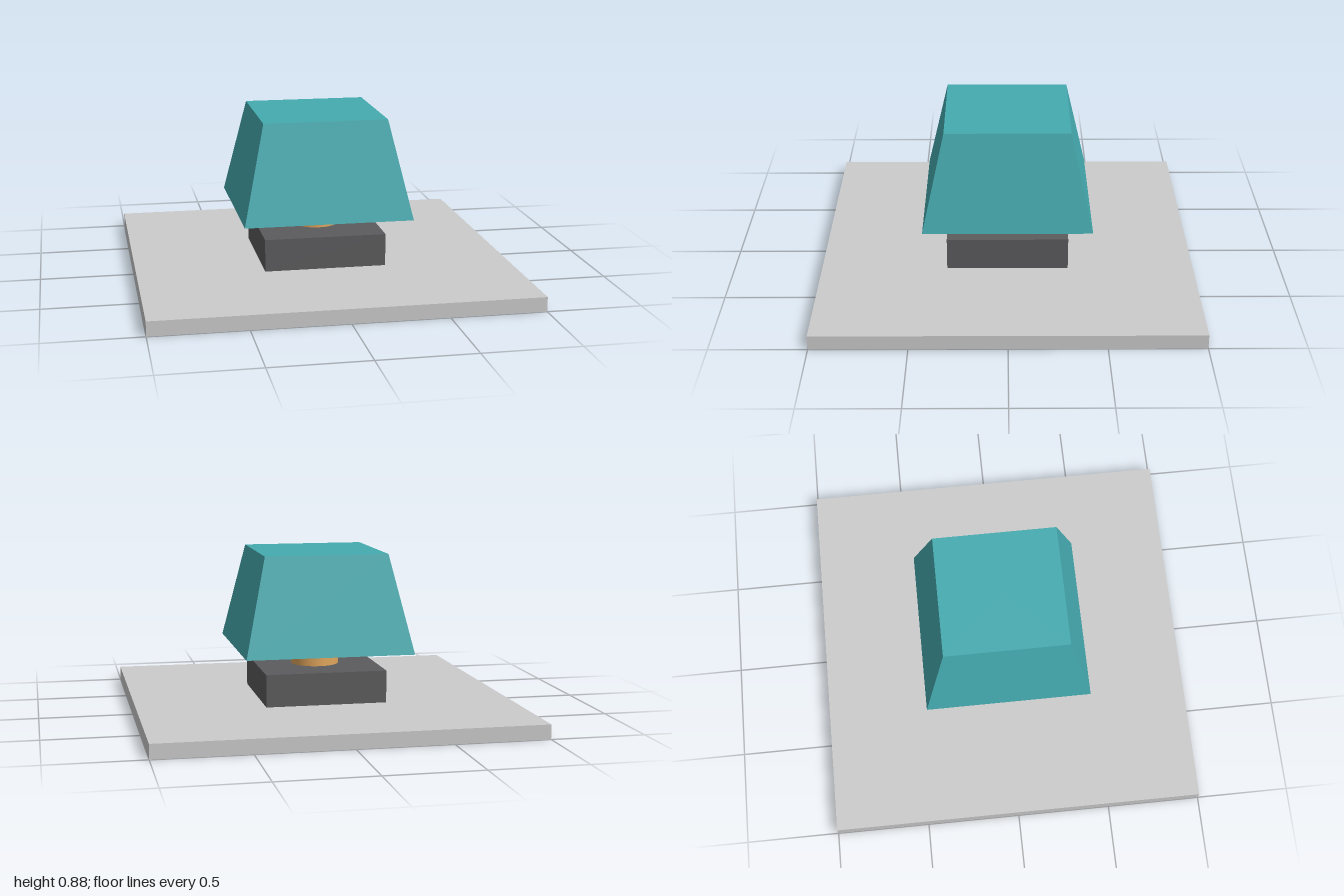
import * as THREE from 'three';

export function createModel() {
  const model = new THREE.Group();

  function add(name, geometry, color, y, flatShading = true) {
    const material = new THREE.MeshStandardMaterial({ color, flatShading });
    const mesh = new THREE.Mesh(geometry, material);
    mesh.name = name;
    mesh.position.y = y;
    model.add(mesh);
    return mesh;
  }

  // Thin square plate
  add('plate', new THREE.BoxGeometry(2, 0.077, 2), 0xcccccc, 0.0385);

  // Switch housing resting on the plate
  add('housing', new THREE.BoxGeometry(0.65, 0.173, 0.65), 0x5c5c5e, 0.1635);

  // Round stem between housing and cap, its top seated just inside the cap
  add('stem', new THREE.CylinderGeometry(0.13, 0.13, 0.15, 32), 0xe0a55c, 0.325, false);

  // Tapered square cap: a four-sided frustum turned so its faces meet the axes
  const cap = new THREE.CylinderGeometry(0.33 * Math.SQRT2, 0.448 * Math.SQRT2, 0.522, 4);
  cap.rotateY(Math.PI / 4);
  add('cap', cap, 0x45abb0, 0.614);

  return model;
}
